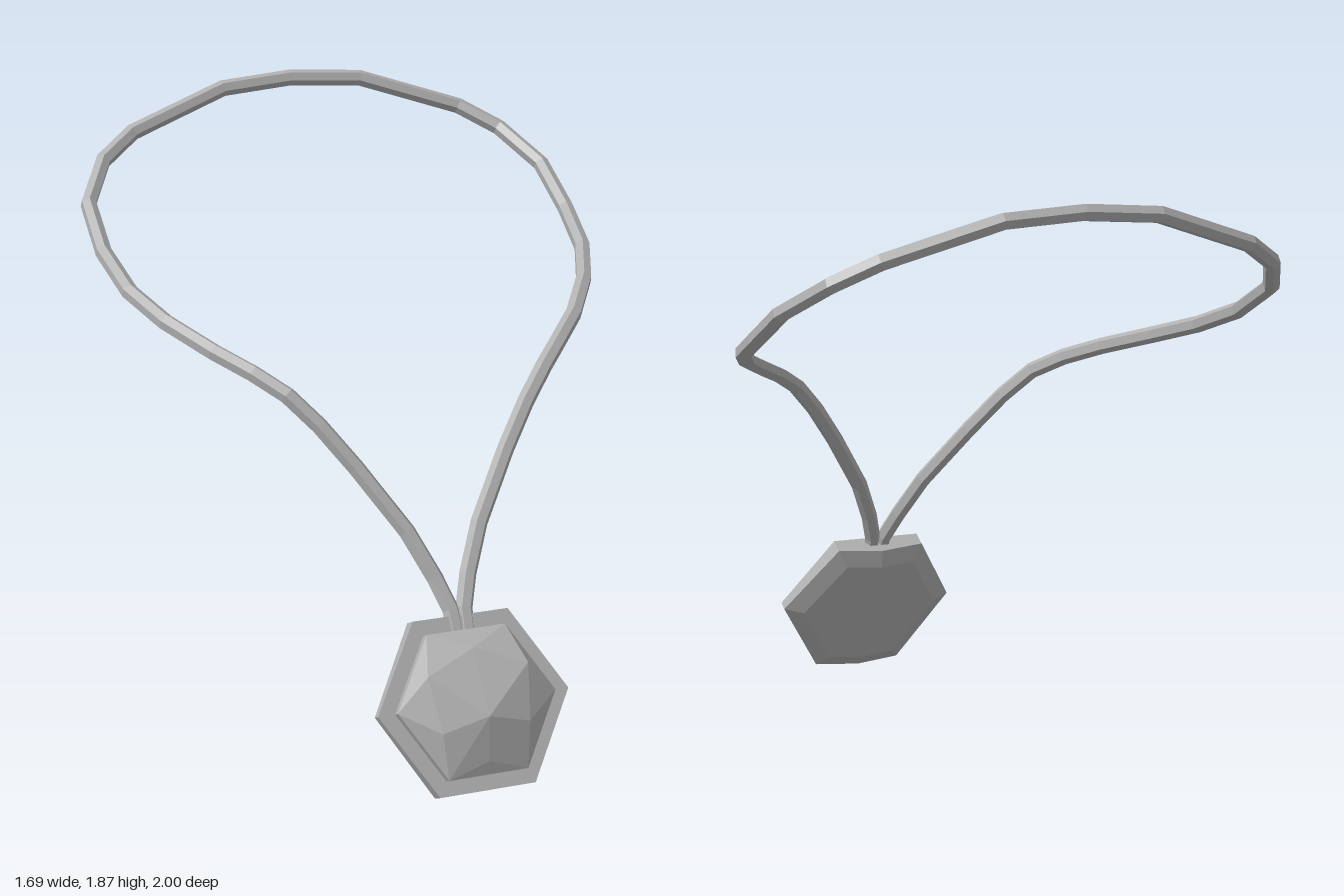
import * as THREE from 'three';
import { ConvexGeometry } from 'three/addons/geometries/ConvexGeometry.js';

const metal = new THREE.MeshStandardMaterial({ color: 0xb0b0b0 });
metal.name = 'grey metal';

const v = (x, y, z) => new THREE.Vector3(x, y, z);

// Hexagon with corners on the x axis plus a middle point on the top and bottom
// edges; z rises with |x| by vee, giving a ridged back.
function hexRing(radius, z, vee = 0) {
  const points = [];
  for (let i = 0; i < 6; i++) {
    const a = (i * Math.PI) / 3;
    const x = radius * Math.cos(a);
    points.push(v(x, radius * Math.sin(a), z + vee * Math.abs(x)));
  }
  const apothem = (radius * Math.sqrt(3)) / 2;
  points.push(v(0, apothem, z), v(0, -apothem, z));
  return points;
}

function mesh(name, geometry) {
  const m = new THREE.Mesh(geometry, metal);
  m.name = name;
  return m;
}

// Faceted cord running through every path point
function makeCord() {
  const half = [
    [0.018, 0.45, 0.755], [0.022, 0.53, 0.71], [0.055, 0.62, 0.655], [0.12, 0.755, 0.58],
    [0.25, 0.945, 0.47], [0.345, 1.07, 0.4], [0.43, 1.16, 0.34], [0.515, 1.215, 0.26],
    [0.61, 1.262, 0.155], [0.72, 1.32, -0.02], [0.79, 1.375, -0.2],
    [0.82, 1.45, -0.42], [0.815, 1.555, -0.635], [0.72, 1.655, -0.805],
    [0.595, 1.725, -0.885], [0.25, 1.835, -0.963],
  ];
  const left = half.map((p) => v(...p));
  const right = half.map(([x, y, z]) => v(-x, y, z)).reverse();
  const path = [...left, v(0, 1.852, -0.975), ...right];
  const curve = new THREE.CatmullRomCurve3(path);
  curve.getPointAt = (t, target) => curve.getPoint(t, target);
  curve.getTangentAt = (t, target) => curve.getTangent(t, target);
  const tube = new THREE.TubeGeometry(curve, path.length - 1, 0.028, 6).toNonIndexed();
  tube.computeVertexNormals();
  return mesh('cord', tube);
}

// Pendant, built facing +z and then leaned back
function makePendant() {
  const pendant = new THREE.Group();
  pendant.name = 'pendant';

  // Hexagonal setting with bevelled, ridged back
  pendant.add(mesh('setting', new ConvexGeometry([
    ...hexRing(0.315, 0),
    ...hexRing(0.315, -0.076, 0.13),
    ...hexRing(0.25, -0.1, 0.13),
  ])));

  // Faceted domed stone
  const dome = [
    [30, 0.19, 0.085], [90, 0.165, 0.071], [150, 0.19, 0.085],
    [210, 0.165, 0.08], [270, 0.185, 0.056], [330, 0.165, 0.08],
  ].map(([deg, r, z]) => {
    const a = THREE.MathUtils.degToRad(deg);
    return v(r * Math.cos(a), r * Math.sin(a), z);
  });
  pendant.add(mesh('stone', new ConvexGeometry([
    ...hexRing(0.26, -0.01),
    ...hexRing(0.26, 0.03),
    ...dome,
    v(0, -0.05, 0.122),
  ])));

  pendant.position.set(0, 0.28, 0.865);
  pendant.rotation.x = -THREE.MathUtils.degToRad(28);
  return pendant;
}

export function createModel() {
  const model = new THREE.Group();
  model.name = 'necklace';
  model.add(makeCord(), makePendant());
  return model;
}
